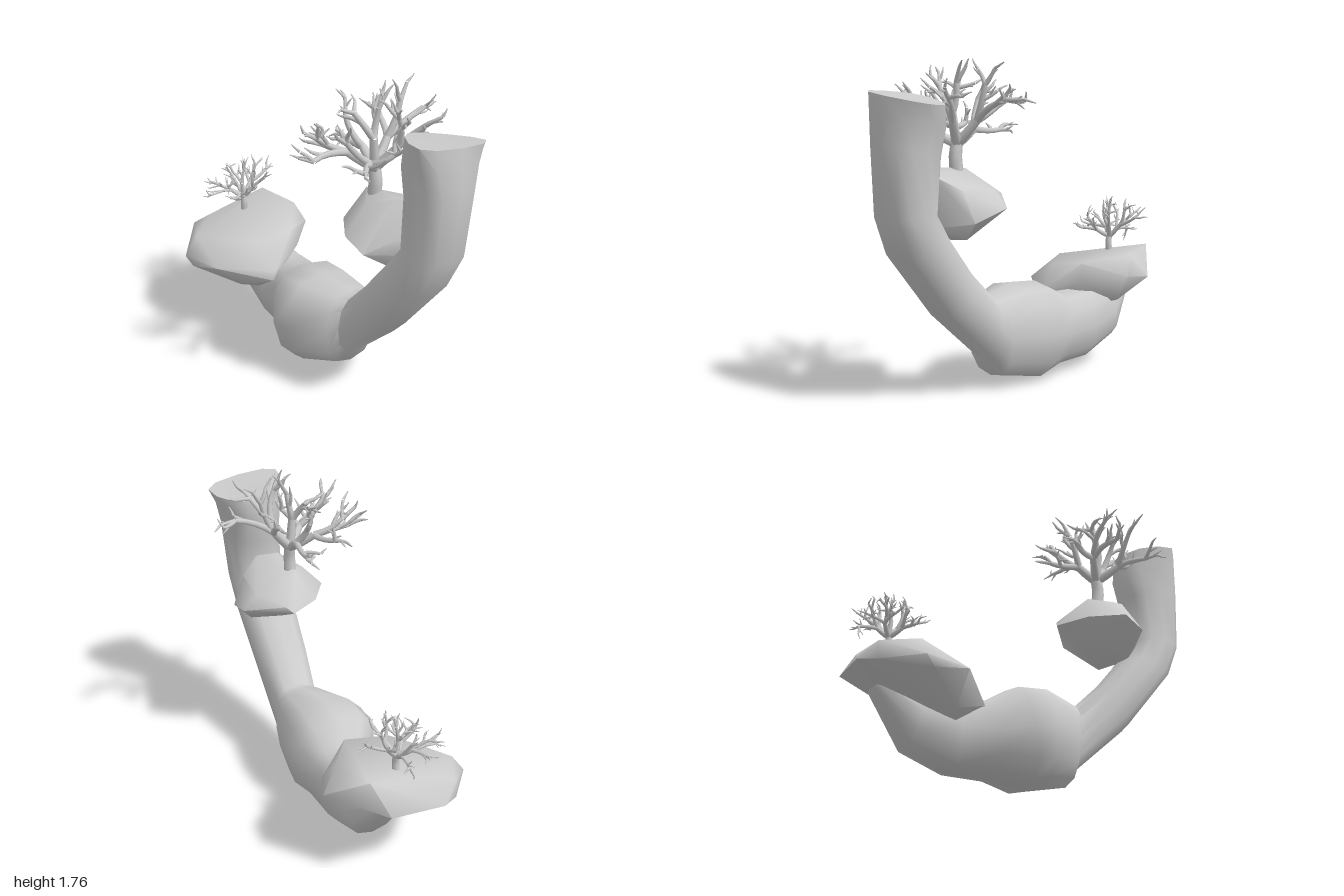
import * as THREE from 'three';
import { mergeGeometries, toCreasedNormals } from 'three/addons/utils/BufferGeometryUtils.js';
import { ConvexGeometry } from 'three/addons/geometries/ConvexGeometry.js';

const V = (x, y, z) => new THREE.Vector3(x, y, z);
const grey = new THREE.MeshStandardMaterial({ color: 0xcccccc });

function mesh(name, geometry) {
  const m = new THREE.Mesh(geometry, grey);
  m.name = name;
  return m;
}

// Boulder: hull of a few corner points with softened edges
function boulder(name, points) {
  const geo = new ConvexGeometry(points.map(p => V(...p)));
  return mesh(name, toCreasedNormals(geo, 1.1));
}

// Rock arch: rings between an outer and an inner edge
// [outerX, outerY, innerX, innerY, zFront, zBack, widening towards the outer edge]
function arch(name, sections, tilt) {
  const sides = 12, pos = [], index = [], top = (sections.length - 1) * sides;
  const soft = v => Math.sign(v) * Math.abs(v) ** 0.8;
  sections.forEach(([ox, oy, ix, iy, zf, zb, widen = 0], i) => {
    const lift = i === sections.length - 1 ? tilt : 0;
    for (let j = 0; j < sides; j++) {
      const a = j / sides * Math.PI * 2, c = soft(Math.cos(a)) / 2, s = soft(Math.sin(a)) / 2;
      pos.push((ox + ix) / 2 + c * (ox - ix), (oy + iy) / 2 + c * (oy - iy) + s * lift,
        (zf + zb) / 2 + s * (zf - zb) * (1 + widen * c));
      const p = i * sides + j, q = i * sides + (j + 1) % sides;
      if (p < top) index.push(p, p + sides, q + sides, p, q + sides, q);
    }
  });
  // end faces
  for (let j = 1; j < sides - 1; j++) index.push(top, top + j + 1, top + j, 0, j, j + 1);
  const geo = new THREE.BufferGeometry();
  geo.setAttribute('position', new THREE.Float32BufferAttribute(pos, 3));
  geo.setIndex(index);
  return mesh(name, toCreasedNormals(geo, 1.0));
}

// Tapered tube along a curve
function branch(curve, r0, r1, segments, sides) {
  const geo = new THREE.TubeGeometry(curve, segments, 1, sides, false);
  const p = geo.attributes.position, v = V(0, 0, 0);
  for (let i = 0; i < p.count; i++) {
    const t = Math.floor(i / (sides + 1)) / segments, c = curve.getPointAt(t);
    v.fromBufferAttribute(p, i).sub(c).multiplyScalar(r0 + (r1 - r0) * t).add(c);
    p.setXYZ(i, v.x, v.y, v.z);
  }
  return geo;
}

// Main limbs: a knee, then the ends of the limbs that leave it
const limbs = [
  [[-0.08, 0.21, 0.11], [-0.06, 0.22, 0.33], [-0.22, 0.22, 0.17], [-0.13, 0.3, 0.26]],
  [[0.09, 0.2, 0.1], [0.2, 0.22, 0.22], [0.08, 0.34, 0.24], [0.2, 0.27, 0.04]],
  [[0.09, 0.25, -0.07], [0.19, 0.37, -0.15], [0.14, 0.42, -0.03]],
  [[-0.04, 0.25, -0.11], [-0.03, 0.36, -0.33], [-0.19, 0.35, -0.15], [-0.03, 0.43, -0.18]],
  [[-0.11, 0.2, -0.01], [-0.28, 0.19, -0.03], [-0.19, 0.35, 0.04]],
  [[0.01, 0.29, 0.02], [0.01, 0.44, -0.01], [-0.07, 0.41, 0.08]]];

// Bare tree: trunk, main limbs and forking twigs
function tree(name, seed) {
  let s = seed;
  const rand = () => (s = (s * 16807) % 2147483647) / 2147483647 - 0.5;
  const parts = [];
  const grow = (from, to, r, depth) => {
    const wobble = V(rand(), rand(), rand()).multiplyScalar(0.25 * from.distanceTo(to));
    const curve = new THREE.QuadraticBezierCurve3(from, from.clone().lerp(to, 0.5).add(wobble), to);
    parts.push(branch(curve, r, r * (depth ? 0.65 : 0.3), 4, 6));
    if (!depth) return;
    for (const t of depth > 1 ? [0.6, 1, 1] : [0.5, 1]) {
      const start = curve.getPoint(t);
      const dir = curve.getTangent(t).add(V(rand() * 1.7, rand() * 1.4 + 0.1, rand() * 1.7)).normalize();
      const size = (depth > 1 ? 0.085 : 0.055) * (1 + rand() * 0.5);
      grow(start, start.clone().addScaledVector(dir, size), r * 0.65, depth - 1);
    }
  };
  const crown = V(0, 0.13, 0);
  parts.push(branch(new THREE.CatmullRomCurve3([V(0, -0.03, 0), V(0.01, 0.06, 0), crown]), 0.037, 0.032, 5, 8));
  for (const [k, ...tips] of limbs) {
    const knee = V(...k);
    const rise = crown.clone().lerp(knee, 0.5).add(V(0, -0.01, 0));
    parts.push(branch(new THREE.QuadraticBezierCurve3(crown, rise, knee), 0.028, 0.021, 4, 7));
    for (const tip of tips) grow(knee, V(...tip), 0.02, 2);
  }
  return mesh(name, mergeGeometries(parts));
}

export function createModel() {
  const model = new THREE.Group();
  model.name = 'rockArch';

  // One continuous rock from the low right end through the base to the tall left end
  model.add(arch('archRock', [
    [-0.86, 0.42, -0.76, 0.46, 0.06, -0.12],
    [-0.66, 0.14, -0.58, 0.47, 0.1, -0.2],
    [-0.42, 0.05, -0.42, 0.45, 0.13, -0.21],
    [-0.19, 0.05, -0.27, 0.45, 0.16, -0.22],
    [-0.03, 0, -0.14, 0.53, 0.27, -0.25],
    [0.05, 0.02, 0.03, 0.545, 0.27, -0.24],
    [0.24, 0.07, 0.24, 0.525, 0.14, -0.2],
    [0.27, 0.14, 0.29, 0.52, 0.09, -0.18],
    [0.6, 0.44, 0.45, 0.68, 0.12, -0.18],
    [0.89, 0.8, 0.6, 0.86, 0.13, -0.2],
    [0.98, 1.0, 0.7, 1.0, 0.1, -0.21],
    [1.0, 1.35, 0.68, 1.28, 0.09, -0.23, 0.2],
    [0.99, 1.48, 0.64, 1.43, 0.1, -0.25, 0.5],
    [0.98, 1.585, 0.66, 1.56, 0.11, -0.28, 0.7]], 0.06));

  // Wide cap boulder on the right side
  model.add(boulder('capBoulder', [
    [-0.89, 0.67, -0.2], [-0.65, 0.64, -0.27], [-0.42, 0.6, -0.1], [-0.45, 0.57, 0.15], [-0.9, 0.59, 0.18],
    [-0.93, 0.55, 0.27], [-0.75, 0.56, 0.36], [-0.75, 0.45, 0.44], [-0.7, 0.4, 0.42], [-0.93, 0.45, 0.28],
    [-1, 0.48, 0.17], [-0.99, 0.5, -0.13], [-0.7, 0.52, -0.36], [-0.58, 0.53, -0.31], [-0.3, 0.38, 0.12],
    [-0.31, 0.43, 0.1], [-0.4, 0.5, -0.12], [-0.5, 0.45, 0.37], [-0.45, 0.27, 0.1], [-0.5, 0.3, 0.22],
    [-0.8, 0.4, 0.1], [-0.7, 0.4, -0.15], [-0.6, 0.38, -0.22]]));

  // Ledge boulder on the column
  model.add(boulder('ledgeBoulder', [
    [0.23, 1.03, -0.08], [0.25, 1.07, -0.12], [0.39, 1.2, 0], [0.4, 1.1, -0.23], [0.62, 1.22, 0],
    [0.5, 1.16, 0.1], [0.7, 1.19, -0.1], [0.62, 1.12, -0.22], [0.4, 1.02, -0.31], [0.6, 0.96, -0.29],
    [0.5, 1.03, 0.22], [0.62, 0.97, 0.2], [0.71, 1.05, 0.05], [0.33, 1.03, 0.1], [0.57, 0.87, -0.2],
    [0.48, 0.89, -0.05], [0.4, 0.94, 0.02], [0.62, 0.85, 0.03], [0.7, 0.92, -0.05]]));

  // Trees
  const largeTree = tree('largeTree', 4211);
  largeTree.position.set(0.45, 1.2, 0);
  const smallTree = tree('smallTree', 977);
  smallTree.position.set(-0.79, 0.635, 0);
  smallTree.scale.setScalar(0.55);
  model.add(largeTree, smallTree);
  return model;
}
